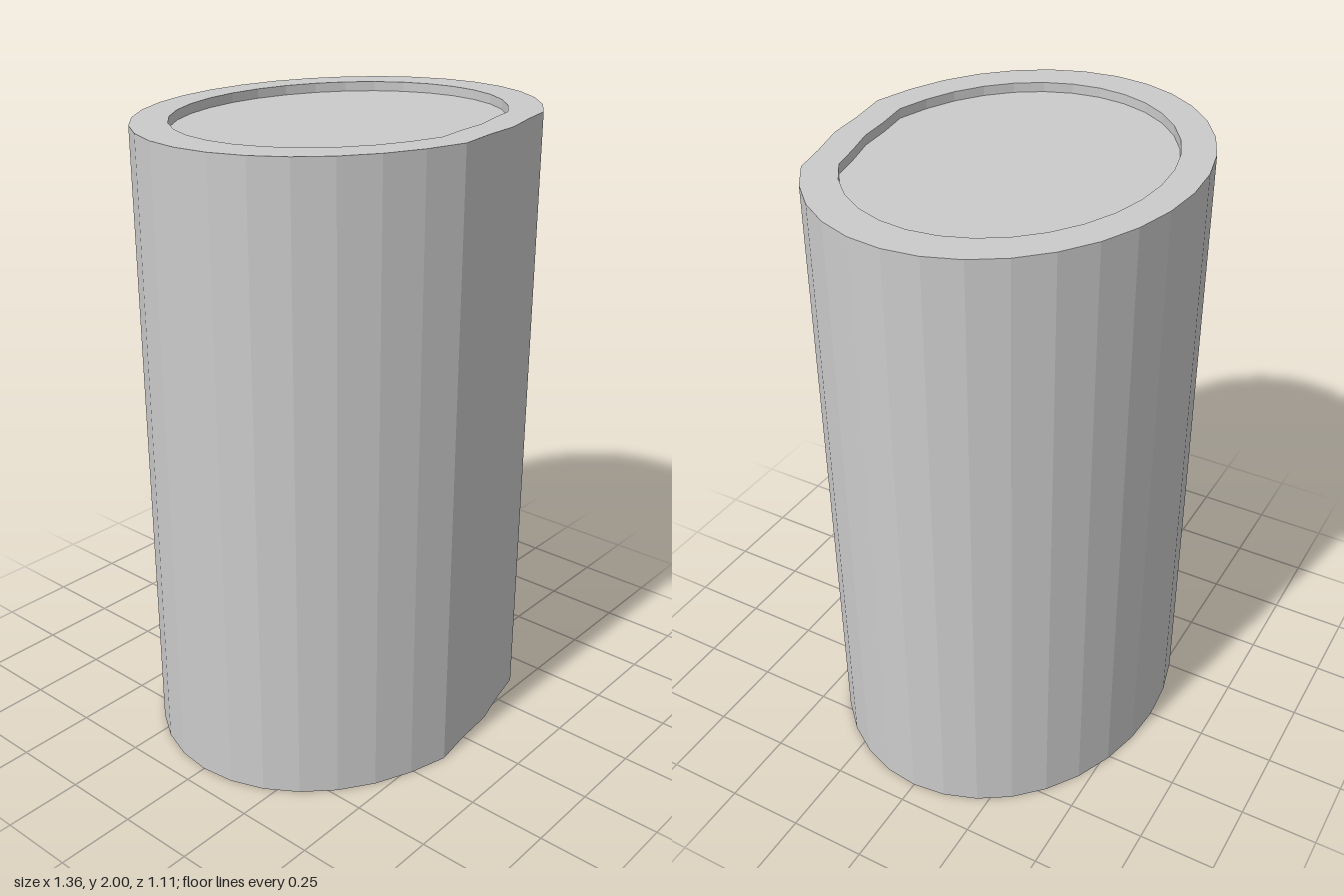
import * as THREE from 'three';

const SIDES = 32;
// Pulls in the front points, making an off-centre flattened dent
const DENT = { '-1': 1.008, 0: 0.955, 1: 0.956, 2: 0.949 };

// Oval outline with the dent on its front
function outline(rx, rz) {
  const points = [];
  for (let i = -SIDES / 2; i < SIDES / 2; i++) {
    const a = (i / SIDES) * Math.PI * 2;
    const z = rz * Math.cos(a) * (DENT[i] ?? 1);
    points.push(new THREE.Vector2(rx * Math.sin(a), -z));
  }
  return points;
}

// Upright prism of a shape between two heights
function prism(name, shape, y0, y1, material) {
  const geometry = new THREE.ExtrudeGeometry(shape, { depth: y1 - y0, bevelEnabled: false });
  geometry.rotateX(-Math.PI / 2);
  geometry.translate(0, y0, 0);
  const mesh = new THREE.Mesh(geometry, material);
  mesh.name = name;
  return mesh;
}

export function createModel() {
  const group = new THREE.Group();
  group.name = 'dentedCan';
  const material = new THREE.MeshStandardMaterial({ color: 0xcccccc, flatShading: true });
  const recess = 0.03;

  // Outer wall, with a rim at both ends
  const wall = new THREE.Shape(outline(0.678, 0.558));
  wall.holes.push(new THREE.Path(outline(0.558, 0.46)));
  group.add(prism('wall', wall, 0, 2, material));

  // Core whose ends form the sunken lid and base
  const core = new THREE.Shape(outline(0.558, 0.46));
  group.add(prism('core', core, recess, 2 - recess, material));

  return group;
}
